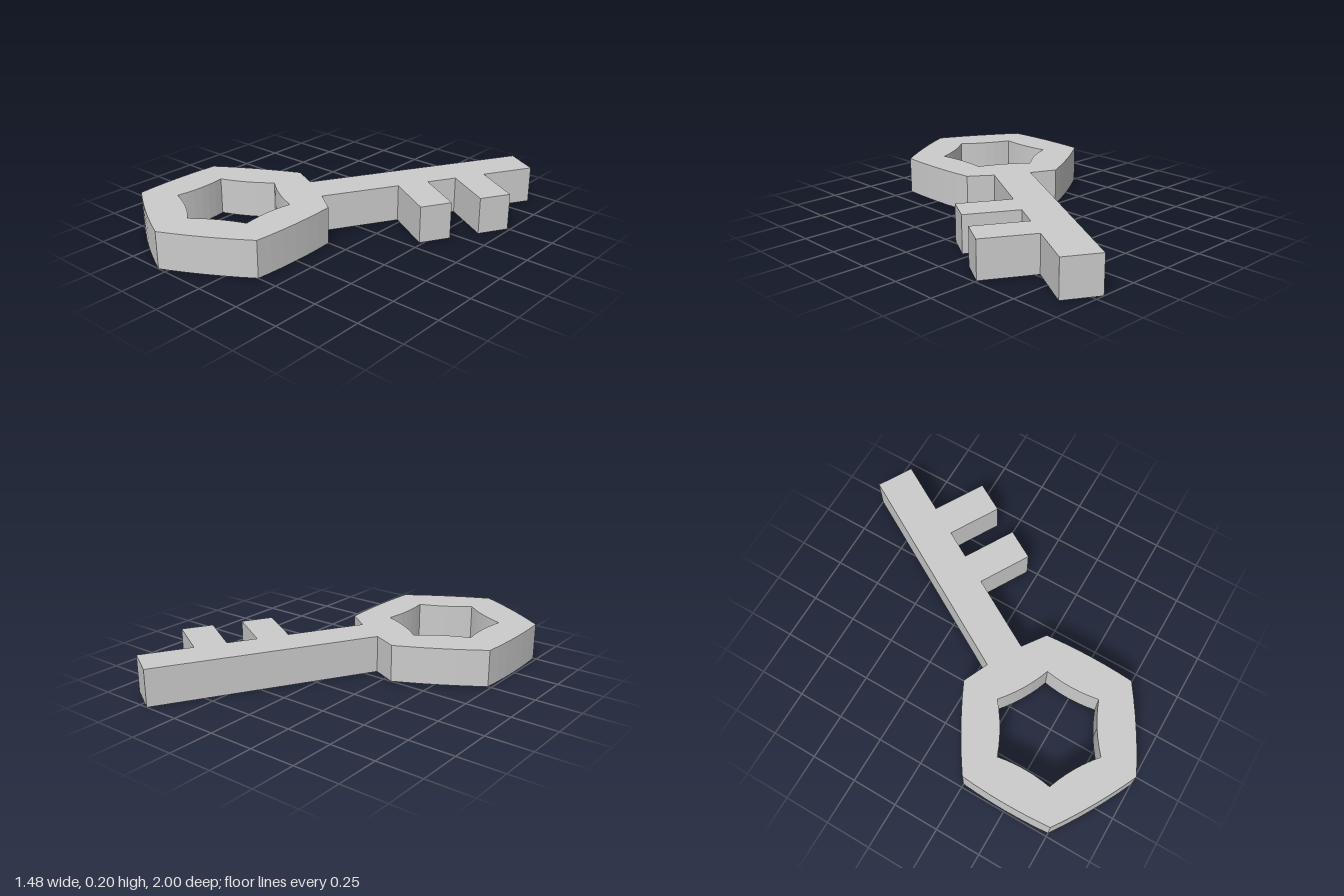
import * as THREE from 'three';

const THICKNESS = 0.2;
const HALF_SHAFT = 0.102, SHAFT_START = 0.447, SHAFT_END = 1.673;
const TOOTH_TIP = 0.398;
const TEETH = [[0.874, 1.046], [1.209, 1.381]];

// Adds hexagon sides to a path, each bowed by `bulge` at its middle
function addHexSides(path, radius, bulge, startDeg, sides) {
  const at = (deg, r) => {
    const a = THREE.MathUtils.degToRad(deg);
    return [r * Math.cos(a), r * Math.sin(a)];
  };
  const control = radius * Math.cos(Math.PI / 6) + 2 * bulge;
  for (let i = 0; i < sides; i++) {
    const deg = startDeg + i * 60;
    path.quadraticCurveTo(...at(deg + 30, control), ...at(deg + 60, radius));
  }
}

export function createModel() {
  const group = new THREE.Group();
  group.name = 'key';

  // Outline, bow centred on the origin and shaft along +y
  const outline = new THREE.Shape();
  outline.moveTo(HALF_SHAFT, SHAFT_START);
  for (const [low, high] of TEETH) {
    outline.lineTo(HALF_SHAFT, low);
    outline.lineTo(TOOTH_TIP, low);
    outline.lineTo(TOOTH_TIP, high);
    outline.lineTo(HALF_SHAFT, high);
  }
  outline.lineTo(HALF_SHAFT, SHAFT_END);
  outline.lineTo(-HALF_SHAFT, SHAFT_END);
  outline.lineTo(-HALF_SHAFT, SHAFT_START);

  // Five bowed sides of the bow; the shaft interrupts the sixth
  outline.lineTo(-0.25, 0.433);
  addHexSides(outline, 0.5, 0.011, 120, 5);
  outline.closePath();

  // Hole with sides bowed inwards
  const hole = new THREE.Path();
  hole.moveTo(0.3, 0);
  addHexSides(hole, 0.3, -0.014, 0, 6);
  outline.holes.push(hole);

  // Lay the key flat and swing the shaft back and to the left
  const geometry = new THREE.ExtrudeGeometry(outline, {
    depth: THICKNESS, bevelEnabled: false, curveSegments: 6,
  });
  geometry.rotateX(-Math.PI / 2);
  geometry.rotateY(-Math.PI / 6);
  geometry.translate(-0.298, 0, 0.5);

  const body = new THREE.Mesh(geometry, new THREE.MeshStandardMaterial({ color: 0xcccccc }));
  body.name = 'keyBody';
  group.add(body);
  return group;
}
